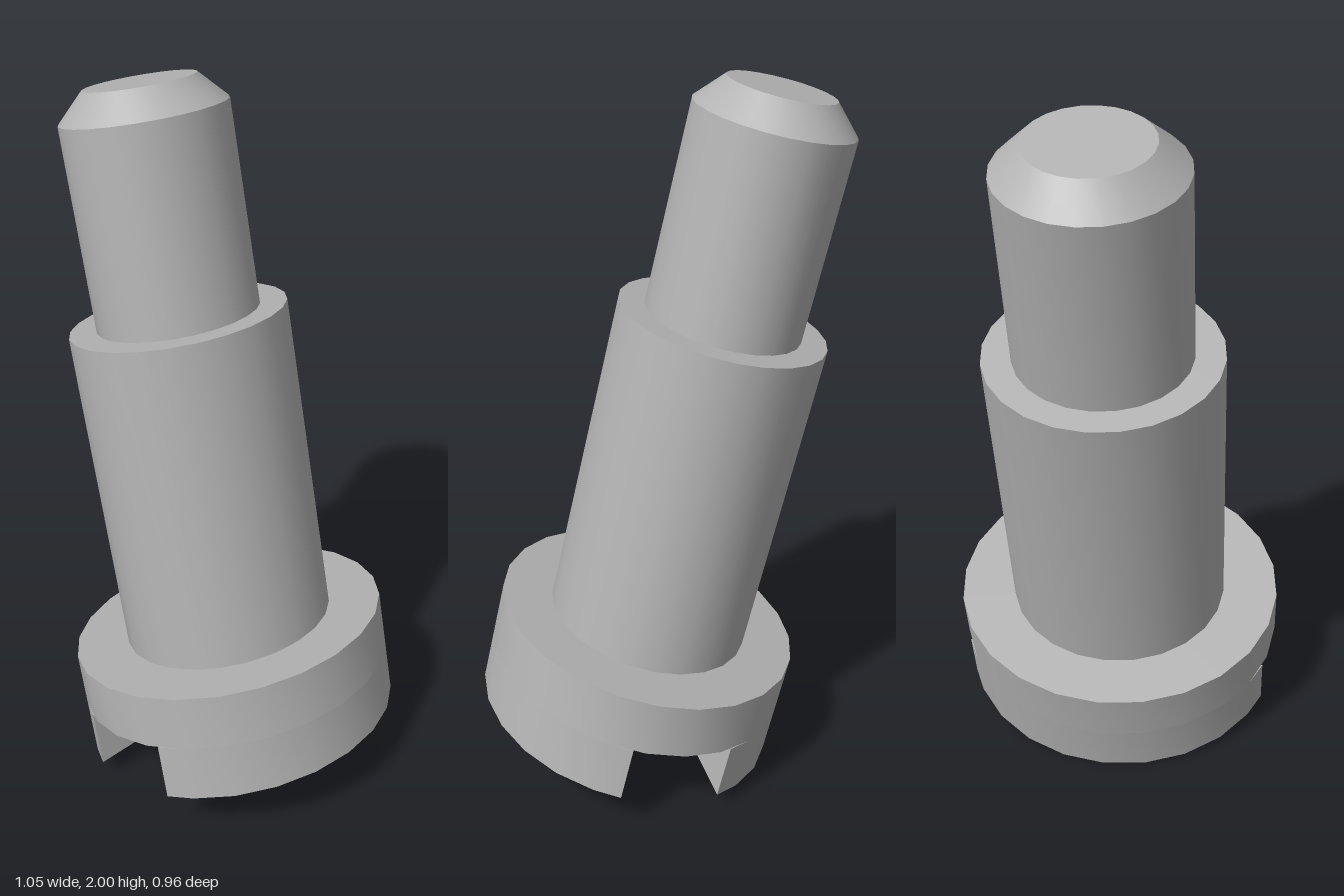
import * as THREE from 'three';
import { toCreasedNormals } from 'three/addons/utils/BufferGeometryUtils.js';

const SIDES = 24;
const R_HEAD = 0.437, SLOT_HALF = 0.147, SLOT_DEPTH = 0.164;

export function createModel() {
  const model = new THREE.Group();
  model.name = 'shoulderScrew';
  const steel = new THREE.MeshStandardMaterial({ color: 0xb3b3b3 });
  steel.name = 'greySteel';

  // The whole screw leans to the right and is slightly oval in depth
  const screw = new THREE.Group();
  screw.name = 'screw';
  screw.scale.z = 1.1;
  screw.rotation.set(-0.012, 0, THREE.MathUtils.degToRad(13));
  screw.position.set(0.1, 0.099, 0.003);
  model.add(screw);

  const add = (name, geometry) => {
    const mesh = new THREE.Mesh(toCreasedNormals(geometry, 0.5), steel);
    mesh.name = name;
    screw.add(mesh);
    return mesh;
  };
  const turned = (points) =>
    new THREE.LatheGeometry(points.map(([r, y]) => new THREE.Vector2(r, y)), SIDES);

  // Turned body: head above the slot, shoulder, tip and chamfer
  add('body', turned([
    [0, SLOT_DEPTH], [R_HEAD, SLOT_DEPTH], [R_HEAD, 0.324],
    [0.291, 0.324], [0.291, 1.275],
    [0.218, 1.275], [0.218, 1.84],
    [0.146, 1.917], [0, 1.917],
  ]));

  // Two halves of the head on either side of the driver slot
  const end = Math.acos(SLOT_HALF / R_HEAD);
  const step = (Math.PI * 2) / SIDES;
  const angles = [-end];
  for (let k = -4; k <= 4; k++) angles.push(k * step);
  angles.push(end);
  const jawShape = new THREE.Shape(
    angles.map((a) => new THREE.Vector2(Math.cos(a) * R_HEAD, Math.sin(a) * R_HEAD)));
  for (const [name, turn] of [['leftHeadHalf', 0], ['rightHeadHalf', Math.PI]]) {
    const jaw = new THREE.ExtrudeGeometry(jawShape, { depth: SLOT_DEPTH, bevelEnabled: false });
    jaw.rotateX(-Math.PI / 2);
    jaw.rotateY(turn);
    add(name, jaw);
  }

  return model;
}
